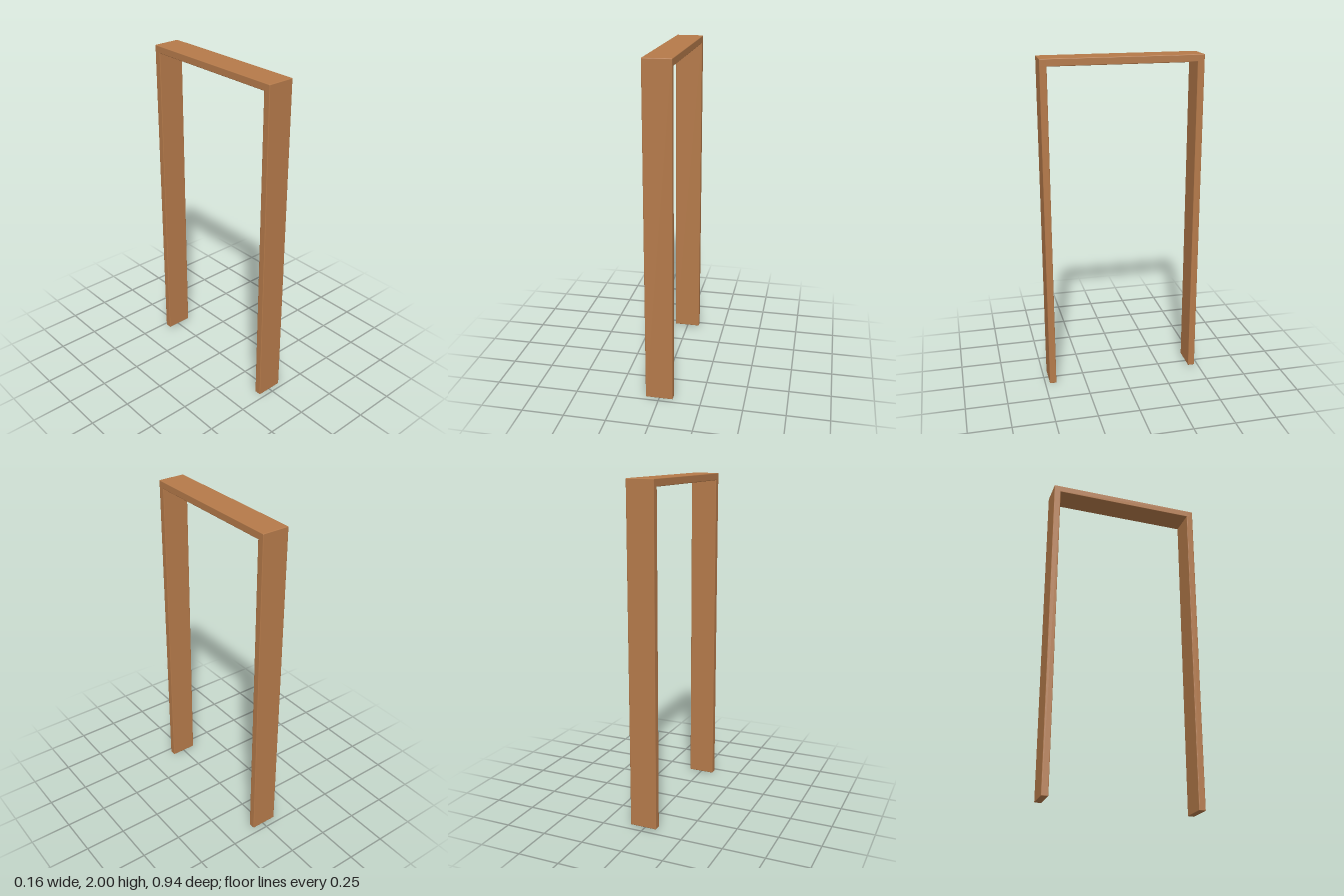
import * as THREE from 'three';
import { RoundedBoxGeometry } from 'three/addons/geometries/RoundedBoxGeometry.js';

const WIDTH = 0.163;     // depth of the boards along x
const THICK = 0.041;     // board thickness
const HALF_SPAN = 0.472; // outer half span along z
const HEIGHT = 2;
const EDGE = 0.004;      // softened edge radius

export function createModel() {
  const group = new THREE.Group();
  group.name = 'doorFrame';

  const wood = new THREE.MeshStandardMaterial({ color: 0xb57a4a });
  wood.name = 'warm brown wood';

  // A softened board spanning the given y and z ranges
  function board(name, y0, y1, z0, z1) {
    const geometry = new RoundedBoxGeometry(WIDTH, y1 - y0, z1 - z0, 2, EDGE);
    const mesh = new THREE.Mesh(geometry, wood);
    mesh.name = name;
    mesh.position.set(0, (y0 + y1) / 2, (z0 + z1) / 2);
    group.add(mesh);
  }

  // Upright jambs run up into the lintel; the back one stops just short of the floor
  const jambTop = HEIGHT - EDGE;
  board('frontJamb', 0, jambTop, HALF_SPAN - THICK, HALF_SPAN);
  board('backJamb', 0.012, jambTop, -HALF_SPAN, -HALF_SPAN + THICK);

  // Lintel across the top
  board('lintel', HEIGHT - THICK - 0.002, HEIGHT, -HALF_SPAN, HALF_SPAN);

  return group;
}
